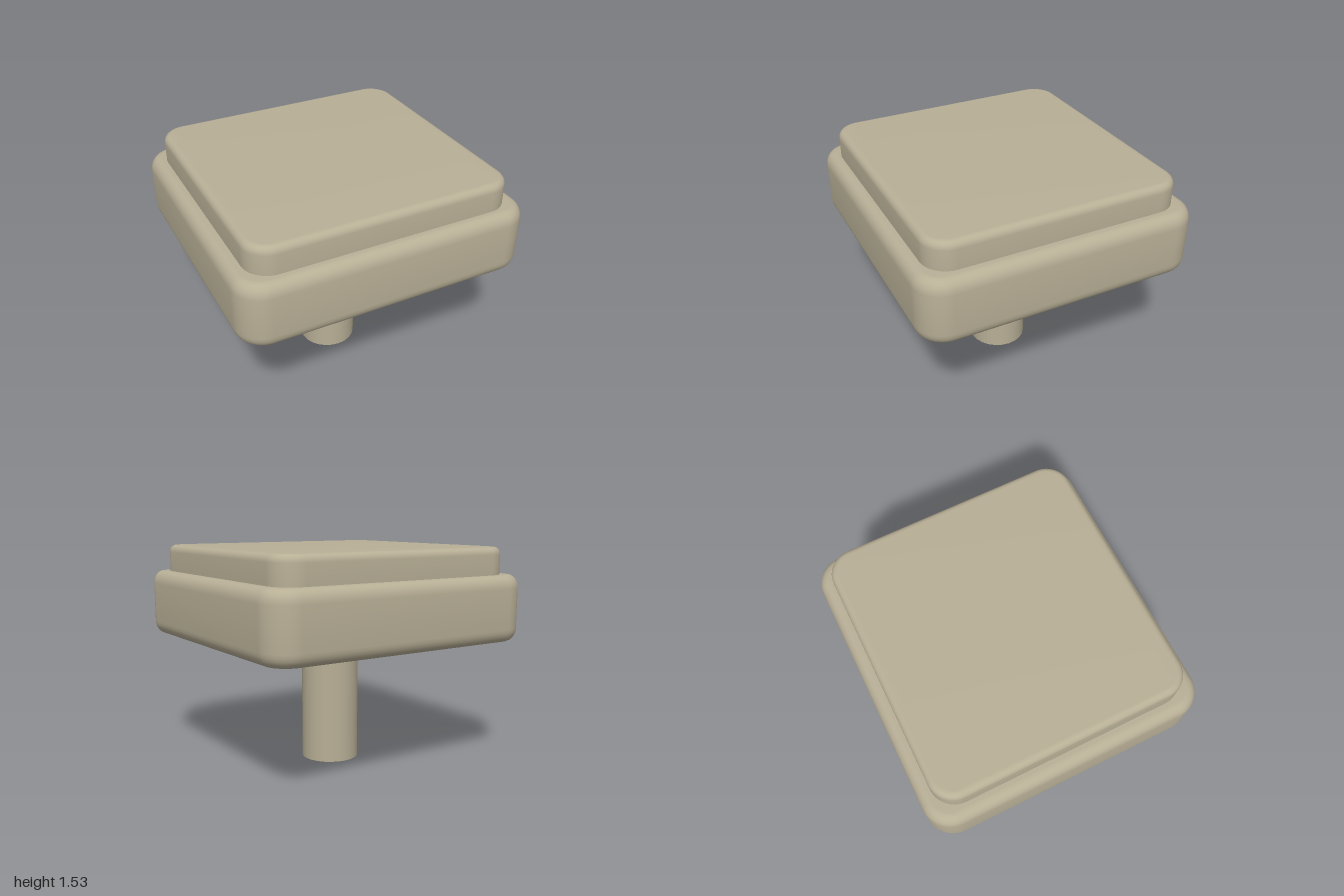
import * as THREE from 'three';
import { toCreasedNormals } from 'three/addons/utils/BufferGeometryUtils.js';

// Rounded slab lying flat: w, d are half sizes, r the plan corner radius,
// inset and rise the width and height of the rounded rims.
function slab(w, d, y0, y1, r, inset, rise) {
  const a = w - inset, b = d - inset, c = r - inset;
  const s = new THREE.Shape();
  s.absarc(a - c, b - c, c, 0, Math.PI / 2);
  s.absarc(-a + c, b - c, c, Math.PI / 2, Math.PI);
  s.absarc(-a + c, -b + c, c, Math.PI, Math.PI * 1.5);
  s.absarc(a - c, -b + c, c, Math.PI * 1.5, Math.PI * 2);
  s.closePath();
  const geo = new THREE.ExtrudeGeometry(s, {
    depth: y1 - y0 - 2 * rise, bevelEnabled: true, bevelSize: inset,
    bevelThickness: rise, bevelSegments: 6, curveSegments: 8,
  });
  geo.rotateX(-Math.PI / 2);
  geo.translate(0, y0 + rise, 0);
  return toCreasedNormals(geo, 0.7);
}

export function createModel() {
  const model = new THREE.Group();
  const stone = new THREE.MeshStandardMaterial({ color: 0xb8af96 });
  stone.name = 'warm grey';

  const add = (name, geo) => {
    const mesh = new THREE.Mesh(geo, stone);
    mesh.name = name;
    model.add(mesh);
  };

  // Post
  const post = new THREE.CylinderGeometry(0.202, 0.202, 1.0, 24);
  post.translate(0, 0.5, 0);
  add('post', post);

  // Thick lower block and thinner raised pad
  add('body', slab(1, 0.953, 0.885, 1.34, 0.19, 0.07, 0.09));
  add('topPad', slab(0.9, 0.862, 1.2, 1.526, 0.17, 0.045, 0.05));

  return model;
}
